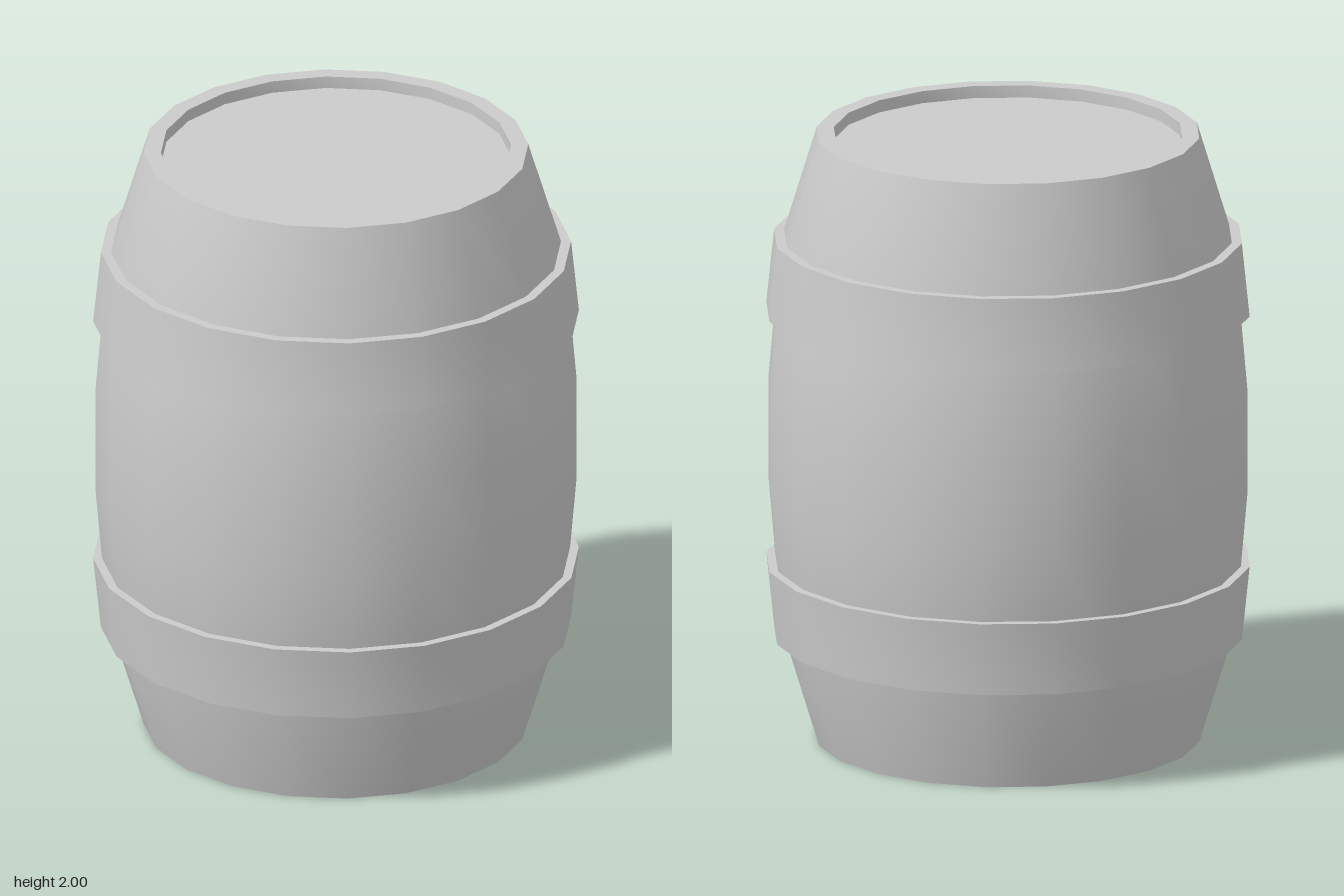
import * as THREE from 'three';
import { toCreasedNormals } from 'three/addons/utils/BufferGeometryUtils.js';

const SIDES = 20;
const material = new THREE.MeshStandardMaterial({ color: 0xcccccc });

// Turn a bottom-to-top profile of [radius, height] pairs around the y axis.
function turned(name, profile) {
  const points = profile.map(([r, y]) => new THREE.Vector2(r, y));
  const geometry = toCreasedNormals(new THREE.LatheGeometry(points, SIDES), 0.5);
  const mesh = new THREE.Mesh(geometry, material);
  mesh.name = name;
  return mesh;
}

const flip = (profile) => profile.map(([r, y]) => [r, 2 - y]).reverse();

export function createModel() {
  const barrel = new THREE.Group();
  barrel.name = 'barrel';

  // Bulging staves with a raised rim at both ends
  const lowerHalf = [[0.56, 0.04], [0.56, 0], [0.615, 0], [0.731, 0.38], [0.77, 0.83]];
  barrel.add(turned('staves', [...lowerHalf, ...flip(lowerHalf)]));

  // Hoops, each flaring towards the belly
  const hoop = [[0.7, 0.343], [0.752, 0.343], [0.777, 0.585], [0.7, 0.585]];
  barrel.add(turned('lowerHoop', hoop), turned('upperHoop', flip(hoop)));

  // Flat heads recessed inside the rims
  for (const [name, y, tilt] of [['topHead', 1.96, -1], ['bottomHead', 0.04, 1]]) {
    const head = new THREE.Mesh(new THREE.CircleGeometry(0.56, SIDES), material);
    head.name = name;
    head.rotation.x = tilt * Math.PI / 2;
    head.position.y = y;
    barrel.add(head);
  }
  return barrel;
}
